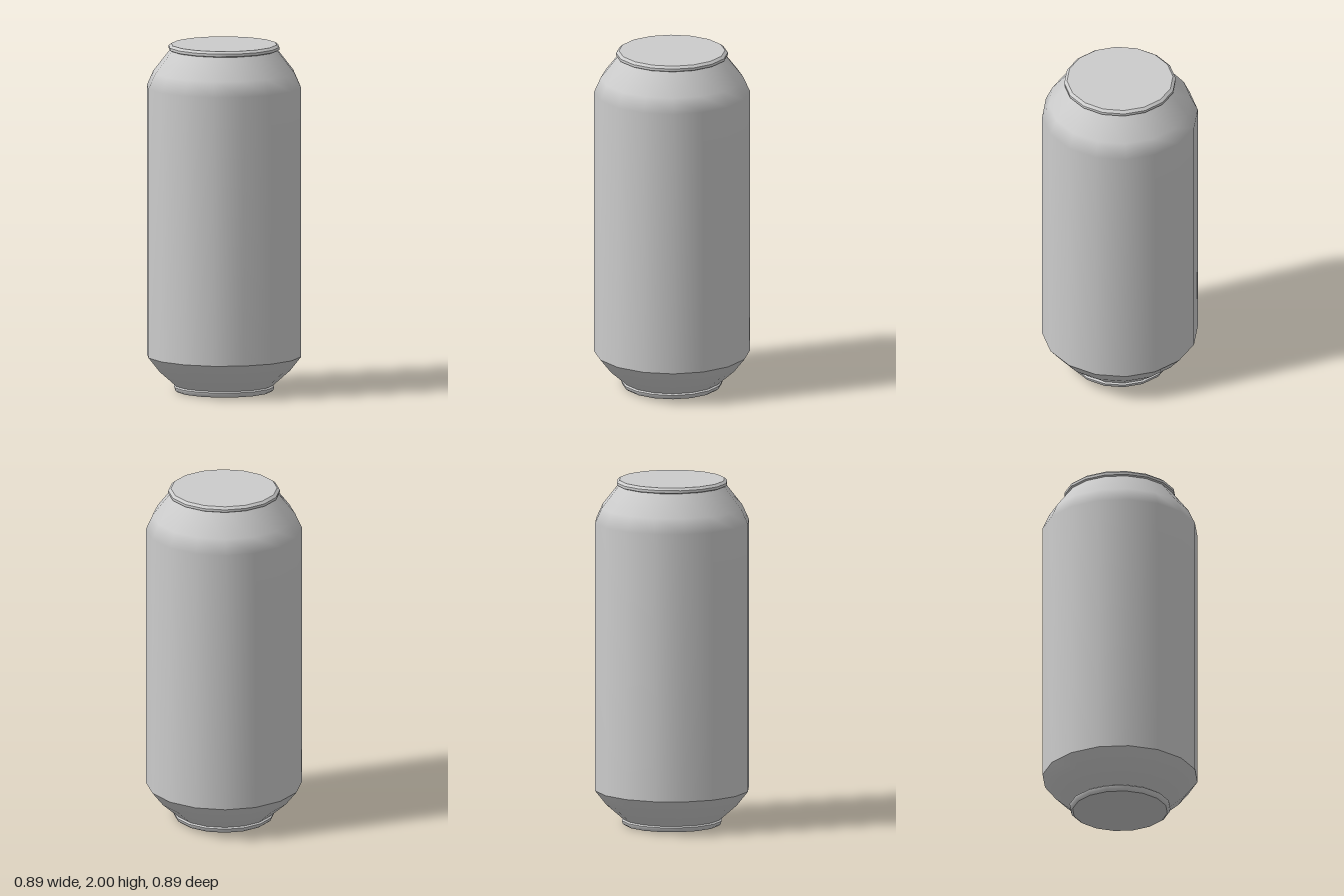
import * as THREE from 'three';

const SIDES = 16;

export function createModel() {
  const can = new THREE.Group();
  can.name = 'drinkCan';
  const material = new THREE.MeshStandardMaterial({ color: 0xcccccc });

  const add = (name, geometry) => {
    const mesh = new THREE.Mesh(geometry, material);
    mesh.name = name;
    can.add(mesh);
    return mesh;
  };

  // Turned part from [radius, height] pairs listed bottom to top; smooth within one part
  const turned = (name, profile) =>
    add(name, new THREE.LatheGeometry(profile.map(([r, y]) => new THREE.Vector2(r, y)), SIDES));

  // Wall running smoothly into the shoulder
  turned('bodyAndShoulder', [[0.445, 0.205], [0.445, 1.755], [0.407, 1.84], [0.308, 1.967]]);

  // Tapered base, separated from the wall by a sharp edge
  turned('baseTaper', [[0.28, 0.035], [0.38, 0.123], [0.445, 0.205]]);

  // Foot ring
  turned('footLedge', [[0.29, 0.028], [0.28, 0.035]]);
  turned('footRing', [[0.272, 0], [0.285, 0.01], [0.29, 0.028]]);

  // Rolled rim around the lid
  turned('rimUnderside', [[0.308, 1.967], [0.319, 1.972]]);
  turned('rimSide', [[0.319, 1.972], [0.319, 1.987]]);
  turned('rimBevel', [[0.319, 1.987], [0.303, 2]]);

  // Flat end discs, corners lined up with the turned parts
  const lid = add('lid', new THREE.CircleGeometry(0.303, SIDES));
  lid.rotation.x = -Math.PI / 2;
  lid.position.y = 2;
  const bottom = add('bottom', new THREE.CircleGeometry(0.272, SIDES));
  bottom.rotation.x = Math.PI / 2;

  return can;
}
